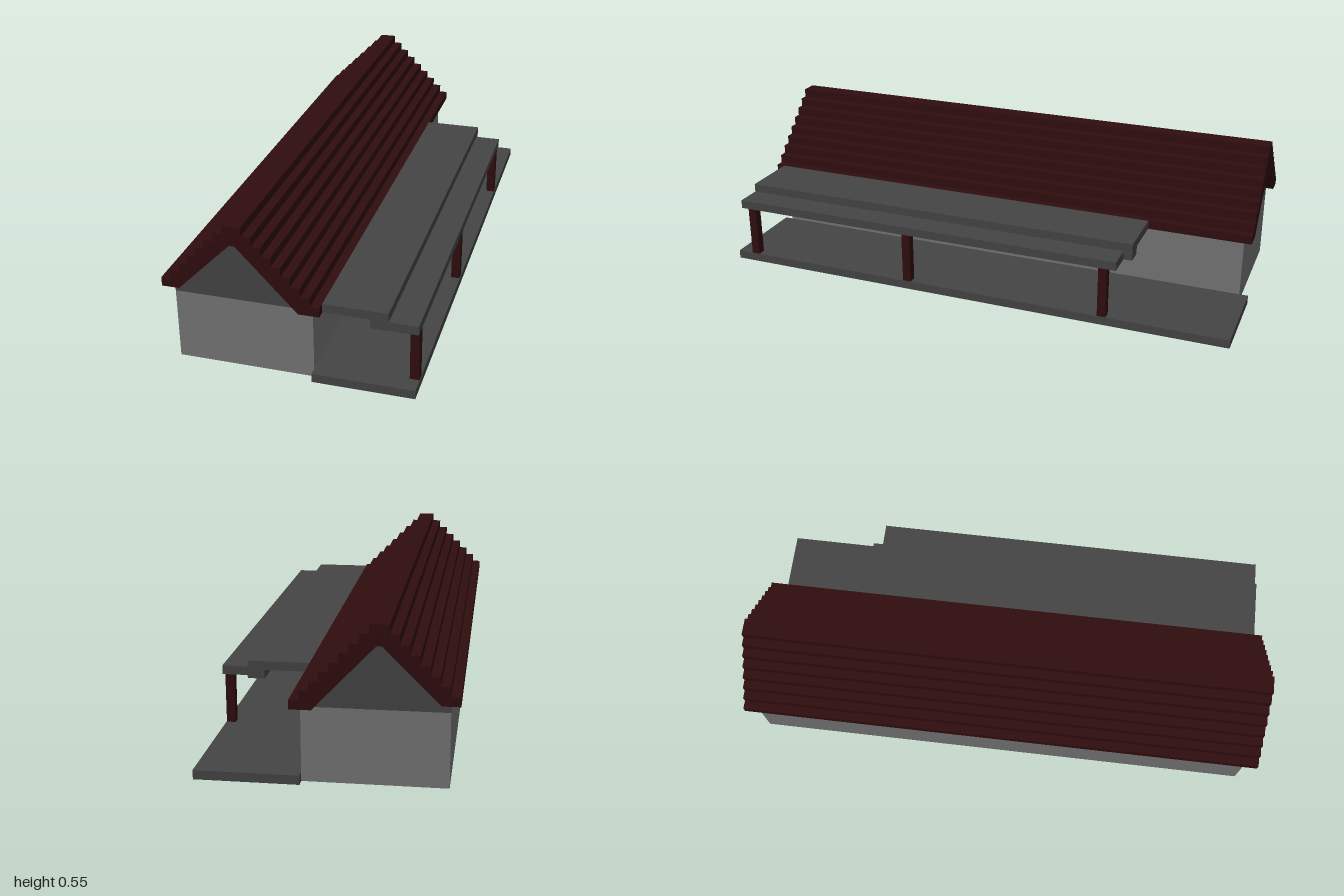
import * as THREE from 'three';

const U = 2 / 62; // building block size

function material(name, color) {
  const m = new THREE.MeshStandardMaterial({ color });
  m.name = name;
  return m;
}

export function createModel() {
  const model = new THREE.Group();
  model.name = 'longHouse';
  const wallGrey = material('wall grey', 0x757575);
  const slateGrey = material('slate grey', 0x454545);
  const darkRed = material('dark red', 0x300d0f);

  // Box from its limits, in blocks
  function box(name, mat, x0, x1, y0, y1, z0, z1) {
    const g = new THREE.BoxGeometry((x1 - x0) * U, (y1 - y0) * U, (z1 - z0) * U);
    const mesh = new THREE.Mesh(g, mat);
    mesh.position.set((x0 + x1) / 2 * U, (y0 + y1) / 2 * U, (z0 + z1) / 2 * U);
    mesh.name = name;
    model.add(mesh);
  }

  // Profile in blocks, extruded along z and centred
  function prism(name, mat, points, halfLength) {
    const shape = new THREE.Shape(points.map(([x, y]) => new THREE.Vector2(x * U, y * U)));
    const g = new THREE.ExtrudeGeometry(shape, { depth: 2 * halfLength * U, bevelEnabled: false });
    g.translate(0, 0, -halfLength * U);
    const mesh = new THREE.Mesh(g, mat);
    mesh.name = name;
    model.add(mesh);
  }

  // House body and gables
  box('walls', wallGrey, -12.5, 2.5, 0, 8, -30, 30);
  prism('gables', slateGrey, [[-12.5, 8], [1.25, 8], [-5.2, 14.8], [-5.8, 14.8], [-11.6, 9], [-12.5, 9]], 30);

  // Stepped roof with a sloping underside
  const profile = [[-13.5, 9], [-11.6, 9], [-5.8, 14.8], [-5.2, 14.8], [1.25, 8], [3.5, 8]];
  for (let i = 0; i <= 8; i++) profile.push([3.5 - i, 9 + i], [2.5 - i, 9 + i]);
  profile.pop();
  for (let i = 0; i <= 7; i++) {
    profile.push([-6.5 - i, 17 - i]);
    if (i < 7) profile.push([-6.5 - i, 16 - i]);
  }
  prism('roof', darkRed, profile, 31);

  // Porch floor and two-level canopy
  box('porchFloor', slateGrey, 2.5, 13.5, 0, 1, -31, 31);
  box('upperCanopy', slateGrey, 3.5, 10.4, 8, 9, -19, 30);
  box('canopyBeam', slateGrey, 8.5, 10.4, 7, 8, -19, 30);
  box('lowerCanopy', slateGrey, 10.4, 13.5, 7, 8, -18, 30);

  // Porch posts
  for (const z of [28.6, 7.6, -16.5]) box('porchPost', darkRed, 12.45, 13.45, 1, 7, z - 0.5, z + 0.5);

  return model;
}
